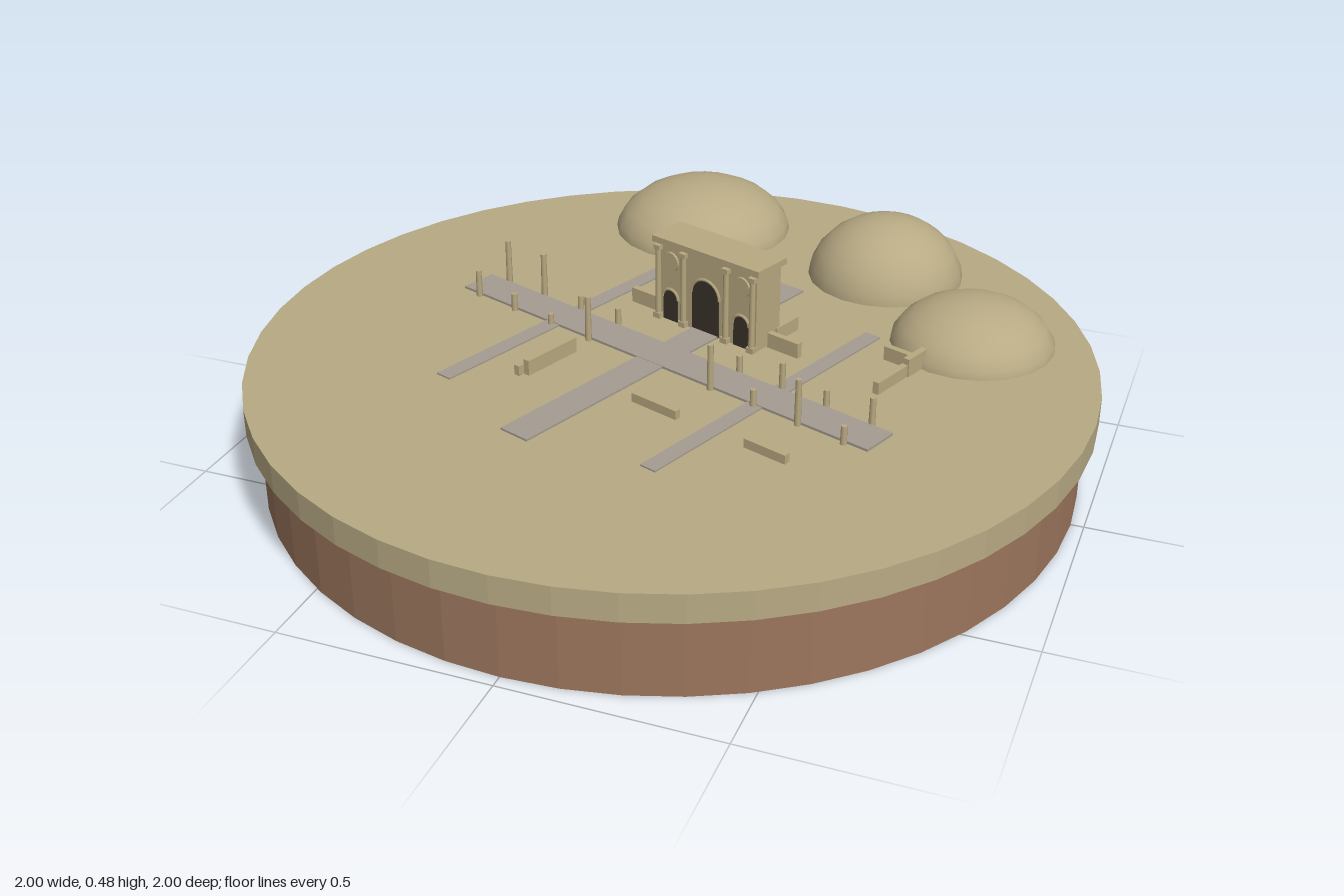
import * as THREE from 'three';

const TOP = 0.265; // height of the ground surface
const mat = (name, color, extra = {}) => {
  const m = new THREE.MeshStandardMaterial({ color, ...extra });
  m.name = name;
  return m;
};

export function createModel() {
  const sand = mat('sand', 0xb8aa84);
  const sandFlat = mat('sand edge', 0xb8aa84, { flatShading: true });
  const earth = mat('earth', 0x9c765d, { flatShading: true });
  const stone = mat('stone', 0xb9a981);
  const paving = mat('paving', 0xa59d92);
  const dark = mat('dark opening', 0x3b332b);

  const model = new THREE.Group();
  model.name = 'ruinedTown';
  const add = (parent, name, geo, material, x, y, z) => {
    const mesh = new THREE.Mesh(geo, material);
    mesh.name = name;
    mesh.position.set(x, y, z);
    parent.add(mesh);
    return mesh;
  };
  const box = (parent, name, w, h, d, material, x, y0, z) =>
    add(parent, name, new THREE.BoxGeometry(w, h, d), material, x, y0 + h / 2, z);

  // Round base
  add(model, 'earthBase', new THREE.CylinderGeometry(0.97, 0.97, 0.2, 48), earth, 0, 0.1, 0);
  add(model, 'groundDisc', new THREE.CylinderGeometry(1, 1, TOP - 0.197, 48), sandFlat, 0, (TOP + 0.197) / 2, 0);

  // Hills: squashed half spheres
  for (const [x, z, r, h] of [[-0.185, -0.725, 0.238, 0.397], [0.36, -0.6, 0.2, 0.422], [0.655, -0.3, 0.2, 0.377]]) {
    const y0 = TOP - 0.015;
    const hill = add(model, 'hill',
      new THREE.SphereGeometry(1, 20, 6, 0, Math.PI * 2, 0, Math.PI / 2), sand, x, y0, z);
    hill.scale.set(r, h - y0, r);
  }

  // Town grid, turned on the disc
  const town = new THREE.Group();
  town.name = 'town';
  town.rotation.y = -Math.PI / 9;
  model.add(town);
  const MID = 0.033;

  // Streets
  box(town, 'mainStreet', 1.25, 0.006, 0.095, paving, 0, TOP, MID);
  box(town, 'crossStreet', 0.08, 0.005, 0.99, paving, 0, TOP, MID);
  for (const s of [-1, 1]) box(town, 'sideStreet', 0.042, 0.004, 0.82, paving, s * 0.315, TOP, MID);

  // Broken columns along both sides of the main street
  const heights = {
    back: [0.115, 0.115, 0.04, 0.045, 0.045, 0.07, 0.045, 0.07],
    front: [0.07, 0.045, 0.03, 0.115, 0.115, 0.045, 0.115, 0.045],
  };
  const stations = [-0.565, -0.44, -0.315, -0.19, 0.19, 0.315, 0.44, 0.565];
  for (const [side, s] of [['back', -1], ['front', 1]]) {
    stations.forEach((x, i) => {
      const h = heights[side][i];
      add(town, 'streetColumn', new THREE.CylinderGeometry(0.007, 0.008, h, 8),
        stone, x, TOP + h / 2, MID + s * 0.053);
    });
  }

  // Triumphal gate
  const gate = new THREE.Group();
  gate.name = 'gate';
  gate.position.set(0, TOP, -0.17);
  town.add(gate);
  box(gate, 'gateBody', 0.308, 0.2, 0.09, stone, 0, 0, 0);
  box(gate, 'cornice', 0.328, 0.016, 0.108, stone, 0, 0.199, 0);

  // Arched opening: thin dark plate with a raised rim
  const arch = (x, w, h) => {
    const r = w / 2, spring = h - r;
    const shape = new THREE.Shape();
    shape.moveTo(-r, 0);
    shape.lineTo(r, 0);
    shape.lineTo(r, spring);
    shape.absarc(0, spring, r, 0, Math.PI, false);
    shape.closePath();
    add(gate, 'archOpening', new THREE.ExtrudeGeometry(shape,
      { depth: 0.004, bevelEnabled: false, curveSegments: 10 }), dark, x, 0.001, 0.0445);
    add(gate, 'archRim', new THREE.TorusGeometry(r + 0.002, 0.004, 5, 12, Math.PI), stone, x, spring, 0.047);
  };
  arch(0, 0.082, 0.14);
  for (const s of [-1, 1]) {
    arch(s * 0.11, 0.044, 0.082);
    // Round panels over the side arches
    const panel = add(gate, 'roundPanel', new THREE.CylinderGeometry(0.025, 0.025, 0.008, 16), stone, s * 0.11, 0.158, 0.047);
    panel.rotation.x = Math.PI / 2;
    // Engaged columns
    for (const x of [0.066, 0.146]) {
      add(gate, 'gateColumn', new THREE.CylinderGeometry(0.007, 0.008, 0.185, 8), stone, s * x, 0.0925, 0.051);
      box(gate, 'columnBase', 0.02, 0.014, 0.02, stone, s * x, 0, 0.05);
      box(gate, 'capital', 0.018, 0.012, 0.018, stone, s * x, 0.183, 0.05);
    }
  }

  // Ruined walls: world x, z, length, height, true when running across
  const ruins = [
    [-0.065, -0.368, 0.135, 0.035, false],
    [0.067, 0.277, 0.13, 0.022, false],
    [0.36, 0.377, 0.112, 0.022, false],
    [-0.265, 0.165, 0.16, 0.025, true],
    [-0.245, 0.155, 0.16, 0.038, true],
    [-0.14, -0.21, 0.1, 0.038, false],
    [0.25, -0.092, 0.09, 0.038, false],
    [0.224, -0.178, 0.085, 0.035, true],
    [0.535, -0.045, 0.165, 0.03, true],
    [0.562, -0.11, 0.075, 0.045, true],
    [0.525, -0.13, 0.09, 0.035, false],
  ];
  const c = Math.cos(Math.PI / 9), n = Math.sin(Math.PI / 9);
  for (const [x, z, len, h, across] of ruins) {
    box(town, 'ruinedWall', across ? 0.016 : len, h, across ? len : 0.016, stone,
      x * c + z * n, TOP, z * c - x * n);
  }
  return model;
}
